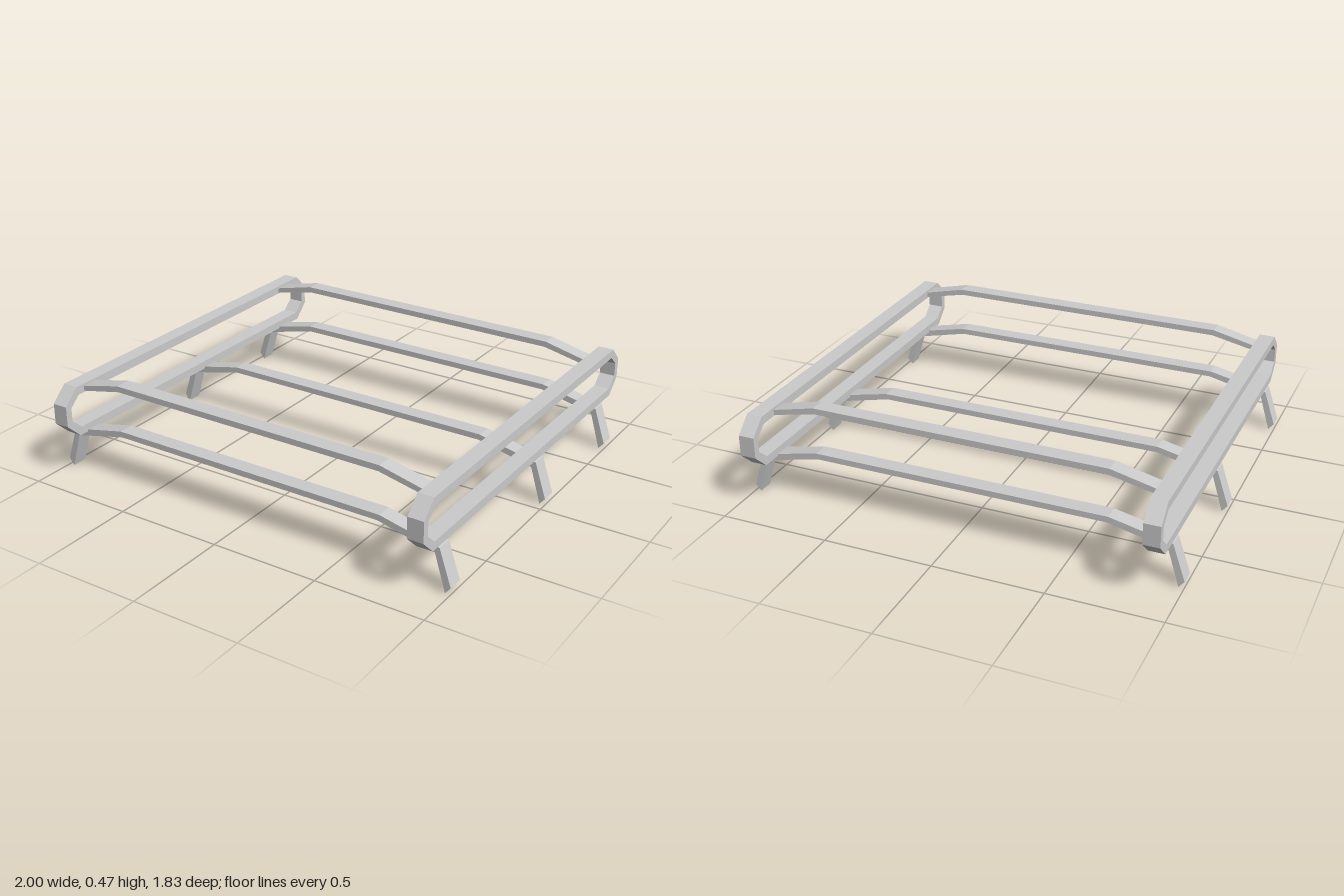
import * as THREE from 'three';

const WIDTH = 0.073; // width of every flat bar
const material = new THREE.MeshStandardMaterial({ color: 0xcccccc, flatShading: true });

// Extrude a profile by the bar width, centred on its depth
function barGeometry(points, hole) {
  const shape = new THREE.Shape(points.map(([a, b]) => new THREE.Vector2(a, b)));
  if (hole) shape.holes.push(new THREE.Path(hole.map(([a, b]) => new THREE.Vector2(a, b))));
  const geometry = new THREE.ExtrudeGeometry(shape, { depth: WIDTH, bevelEnabled: false });
  return geometry.translate(0, 0, -WIDTH / 2);
}

// Close a right-hand half profile with its mirror image across x = 0
function mirrored(half) {
  return [...half, ...half.map(([a, b]) => [-a, b]).reverse()];
}

// Long octagonal ring; (z, y) of its upper corners, reflected about mid height
function ringOutline(z1, y1, z2, y2) {
  const mid = 0.319;
  return mirrored([[z1, mid - y1], [z2, mid - y2], [z2, mid + y2], [z1, mid + y1]]);
}

export function createModel() {
  const group = new THREE.Group();
  const add = (name, geometry, x, z) => {
    const mesh = new THREE.Mesh(geometry, material);
    mesh.name = name;
    mesh.position.set(x, 0, z);
    group.add(mesh);
    return mesh;
  };

  // Side rails: closed loops standing lengthwise
  const rail = barGeometry(
    ringOutline(0.843, 0.118, 0.917, 0.048),
    ringOutline(0.832, 0.079, 0.885, 0.032)
  );
  rail.rotateY(-Math.PI / 2);
  add('leftRail', rail, 0.905, 0);
  add('rightRail', rail, -0.905, 0);

  // Lower cross bars: arched, with splayed legs at both ends
  // the outline runs along the underside, round the foot and back over the top
  const lower = barGeometry(mirroredArch([
    [0.665, 0.227], [0.925, 0.167], [0.975, 0], [1, 0.03], [0.945, 0.194], [0.67, 0.254]
  ]));
  add('frontLegBar', lower, 0, 0.76);
  add('middleLegBar', lower, 0, -0.079);
  add('rearLegBar', lower, 0, -0.714);

  // Upper cross bars: arched, ending inside the rails
  const upper = barGeometry(mirroredArch([
    [0.665, 0.446], [0.88, 0.4], [0.905, 0.4], [0.905, 0.418], [0.67, 0.473]
  ]));
  add('frontUpperBar', upper, 0, 0.76);
  add('rearUpperBar', upper, 0, -0.714);

  return group;
}

// Full arch outline from its +x half
function mirroredArch(half) {
  return mirrored(half);
}
